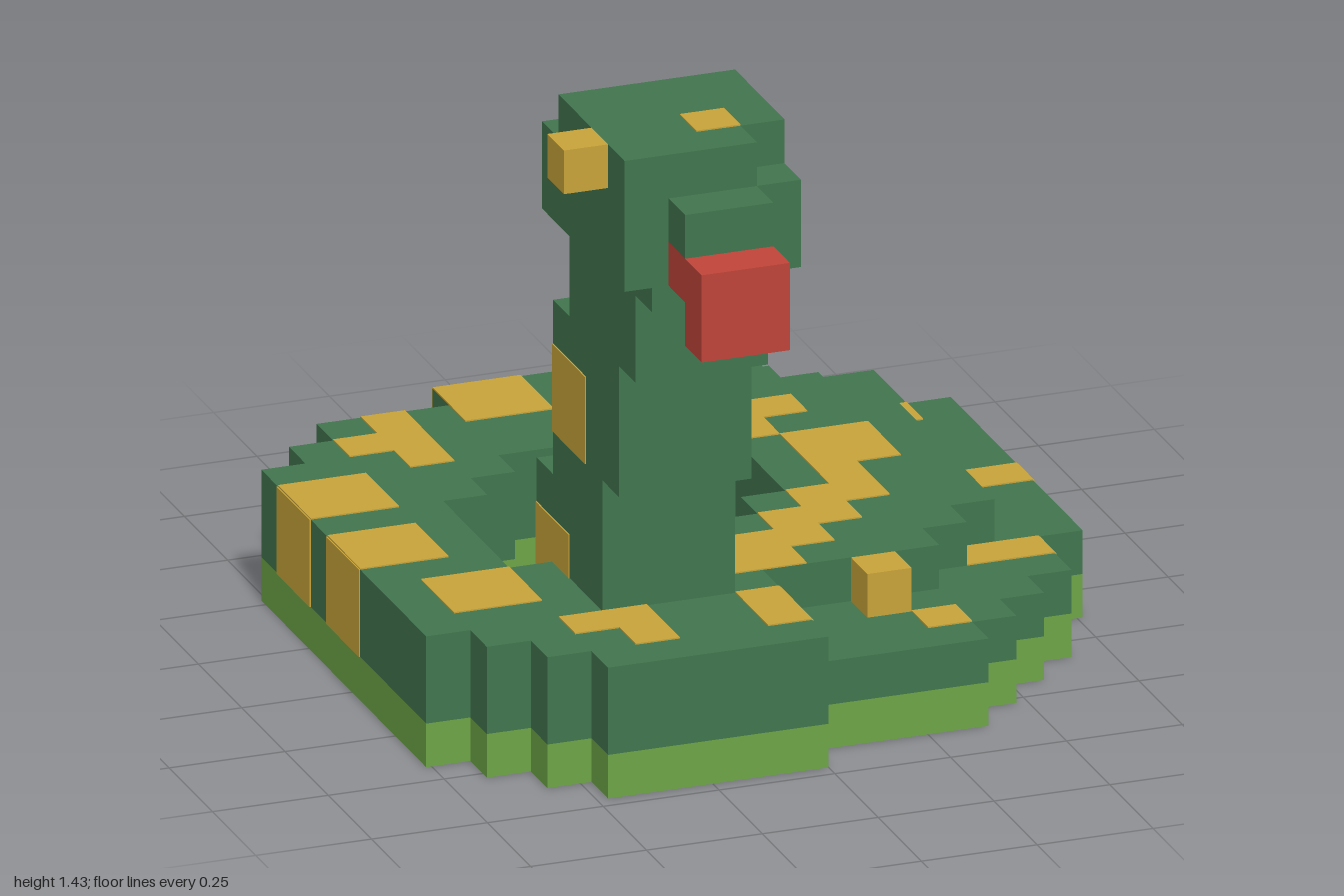
import * as THREE from 'three';

const V = 2 / 21; // one block
const E = 0.03;   // plate thickness in blocks

export function createModel() {
  const mat = (name, color) => {
    const m = new THREE.MeshStandardMaterial({ color });
    m.name = name;
    return m;
  };
  const green = mat('scale green', 0x41754e);
  const lime = mat('belly lime', 0x6da548);
  const gold = mat('spot gold', 0xc8a339);
  const red = mat('tongue red', 0xc0443a);

  const model = new THREE.Group();
  model.name = 'snake';
  const body = new THREE.Group();
  body.name = 'blocks';
  body.scale.setScalar(V);
  body.position.set(-8 * V, 0, -10.5 * V);
  model.add(body);

  const add = (name, geo, material) => {
    const mesh = new THREE.Mesh(geo, material);
    mesh.name = name;
    body.add(mesh);
    return mesh;
  };
  // Box between two corners, in block units
  const box = (name, material, x0, y0, z0, x1, y1, z1) =>
    add(name, new THREE.BoxGeometry(x1 - x0, y1 - y0, z1 - z0), material)
      .position.set((x0 + x1) / 2, (y0 + y1) / 2, (z0 + z1) / 2);

  // Stepped outline from [start, end] spans, one per row
  const outline = (spans, firstRow, path) => {
    const pts = [];
    spans.forEach(([, end], i) => pts.push([end, firstRow + i], [end, firstRow + i + 1]));
    for (let i = spans.length - 1; i >= 0; i--) {
      pts.push([spans[i][0], firstRow + i + 1], [spans[i][0], firstRow + i]);
    }
    const unique = pts.filter((p, i) => i === 0 || p[0] !== pts[i - 1][0] || p[1] !== pts[i - 1][1]);
    path.setFromPoints(unique.map(([x, z]) => new THREE.Vector2(x, z)));
    return path;
  };
  const holeSpans = [[5, 9], [4, 10], [3, 10], [3, 10], [3, 9], [3, 4]];
  const slab = (name, material, spans, y) => {
    const shape = outline(spans, 2, new THREE.Shape());
    shape.holes.push(outline(holeSpans, 6, new THREE.Path()));
    const geo = new THREE.ExtrudeGeometry(shape, { depth: 1, bevelEnabled: false });
    geo.rotateX(Math.PI / 2).translate(0, y + 1, 0);
    add(name, geo, material);
  };

  // Coiled body: belly, lower coil and upper coil
  const wide = [[5, 10], [2, 15], [1, 16], [0, 16], [0, 16], [0, 16], [0, 16], [0, 16], [0, 16], [0, 16],
    [0, 15], [0, 15], [0, 14], [1, 13], [2, 12], [3, 8]];
  const narrow = [[5, 10], [2, 12], [1, 13], [0, 13], [0, 14], [0, 14], [0, 14], [0, 14], [0, 14], [0, 14],
    [0, 13], [0, 12], [0, 8], [1, 8], [2, 8], [3, 8]];
  slab('belly', lime, wide, 0);
  slab('lowerCoil', green, wide, 1);
  slab('upperCoil', green, narrow, 2);
  box('coilBump', gold, 10, 2, 14, 11, 3, 15);

  // Tail
  box('tailBelly', lime, 12, 0, 2, 15, 1, 3);
  box('tailRoot', green, 12, 1, 2, 15, 2, 3);
  box('tailBend', green, 12, 1, 1, 13, 2, 2);
  box('tailBand', gold, 10, 1, 1, 12, 2, 2);
  box('tailEnd', green, 8, 1, 0, 11, 2, 1);
  box('tailTip', gold, 7, 1, 0, 8, 2, 1);

  // Neck segments: [bottom, top, back, front]
  [[3, 5, 11, 15], [5, 6, 12, 15], [6, 9, 12, 16], [9, 11, 13, 17], [11, 12, 13, 18]]
    .forEach(([y0, y1, z0, z1]) => box('neckSegment', green, 4, y0, z0, 7, y1, z1));

  // Head
  box('head', green, 3, 12, 14, 7, 14, 19);
  box('crown', green, 3, 14, 15, 7, 15, 18);
  box('brow', green, 3, 14, 18, 6, 15, 19);
  box('snout', green, 4, 13, 19, 6, 14, 20);
  box('eye', gold, 2, 14, 17, 3, 15, 18);
  box('tongue', red, 4, 12, 19, 6, 13, 21);
  box('tongueTip', red, 4, 11, 20, 6, 12, 21);

  // Spots on top faces: [x0, z0, x1, z1]
  const topSpots = (y, list) => list.forEach(([x0, z0, x1, z1]) =>
    box('topSpot', gold, x0, y, z0, x1, y + E, z1));
  topSpots(3, [
    [5, 2, 7, 4], [3, 3, 4, 4], [2, 4, 4, 5], [3, 5, 4, 6],
    [0, 6, 2, 8], [0, 9, 2, 11], [1, 12, 3, 14],
    [8, 3, 10, 5], [10, 5, 12, 6], [10, 6, 11, 7], [11, 7, 13, 9], [11, 9, 12, 11],
    [10, 10, 11, 11], [9, 11, 11, 12], [7, 12, 10, 13], [7, 13, 9, 14],
    [7, 15, 8, 17], [4, 15, 5, 17], [3, 15, 4, 16],
  ]);
  topSpots(2, [[13, 4, 15, 5], [14, 8, 16, 9], [13, 12, 15, 13], [11, 15, 12, 16]]);
  topSpots(15, [[5, 17, 6, 18]]);

  // Spots on side faces: [x, direction, y0, z0, y1, z1]
  [
    [0, -1, 1, 6, 3, 8], [0, -1, 1, 9, 3, 11],
    [8, 1, 2, 15, 3, 17], [16, 1, 1, 8, 2, 9], [15, 1, 1, 12, 2, 13],
    [4, -1, 6, 12, 8, 14], [4, -1, 3, 11, 4, 13], [4, -1, 2, 11, 3, 12],
  ].forEach(([x, d, y0, z0, y1, z1]) =>
    box('sideSpot', gold, Math.min(x, x + d * E), y0, z0, Math.max(x, x + d * E), y1, z1));

  // Spots on back faces: [z, x0, y0, x1, y1]
  [
    [2, 5, 2, 7, 3], [3, 3, 2, 4, 3], [11, 4, 2, 6, 4], [12, 4, 6, 5, 8],
  ].forEach(([z, x0, y0, x1, y1]) => box('backSpot', gold, x0, y0, z - E, x1, y1, z));

  return model;
}
